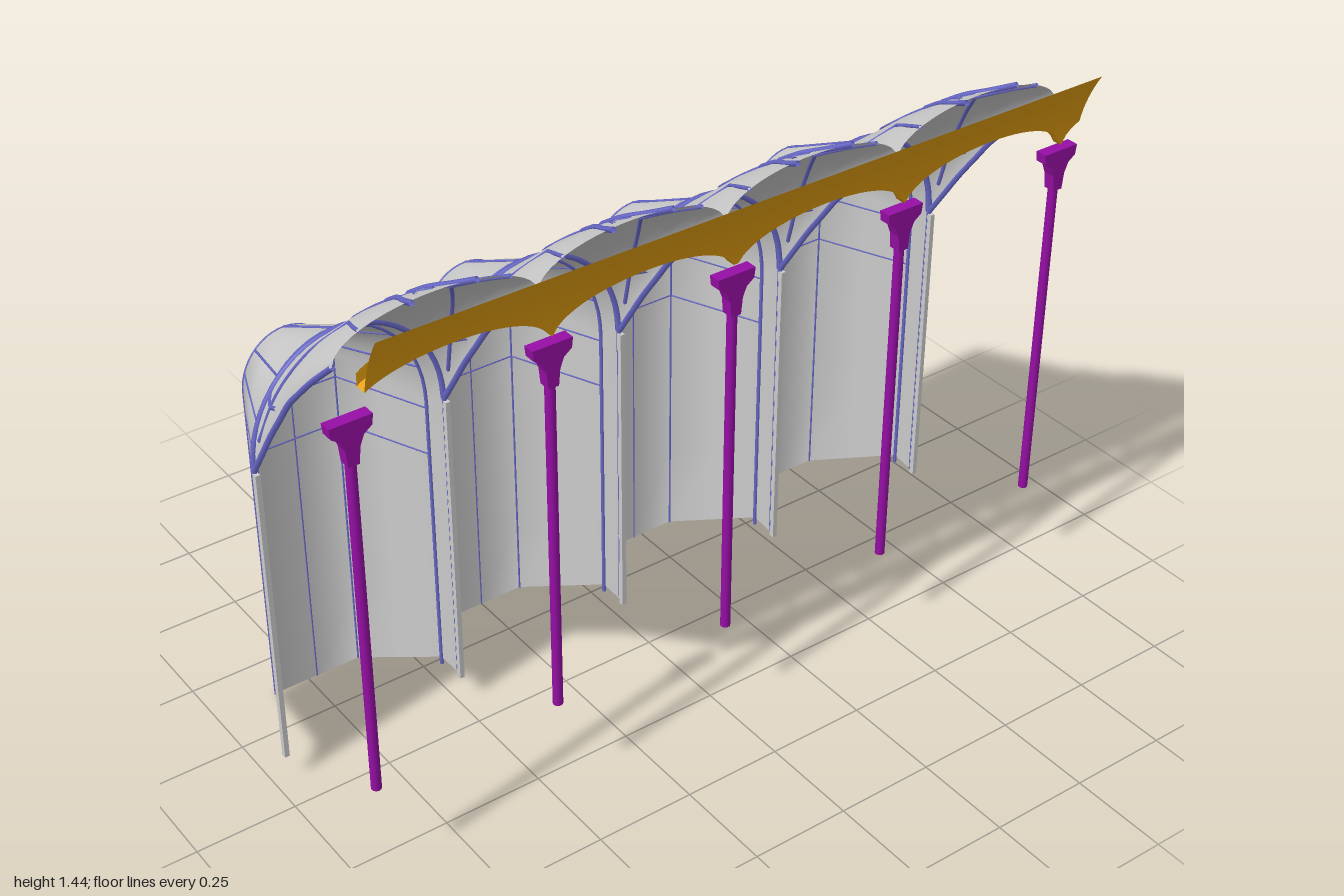
import * as THREE from 'three';

const mat = (color) => new THREE.MeshStandardMaterial({ color, side: THREE.DoubleSide });
const grey = mat(0xcccccc), blue = mat(0x6a6acc), gold = mat(0xe6a010), purple = mat(0x960fa5);
const lerp = THREE.MathUtils.lerp;
const BAYS = 4, PITCH = 0.4765, FIRST = -0.727, HALF = 0.238;

// Stations running back to front: z, half width, springing, crown, foot
const NICHE = [
  [-0.375, 0.115, 0.87, 1.0, 0], [-0.14, 0.215, 0.84, 1.115, 0.11], [-0.1, HALF, 0.865, 1.14, 0.075],
];
const VAULT = [
  [-0.1, HALF, 0.865, 1.14, 0], [0, HALF, 1.015, 1.22, 0], [0.1, HALF, 1.15, 1.302, 0],
  [0.2, HALF, 1.25, 1.37, 0], [0.29, HALF, 1.33, 1.417, 0], [0.33, HALF, 1.36, 1.44, 0],
];

function station(list, z) {
  let i = 0;
  while (i < list.length - 2 && z > list[i + 1][0]) i++;
  const a = list[i], b = list[i + 1], t = (z - a[0]) / (b[0] - a[0]);
  return a.map((v, k) => lerp(v, b[k], t));
}

// Point on an arched shell: u runs 0..1 over the arch
function onArch(list, u, z) {
  const [, h, spring, crown] = station(list, z);
  const a = Math.PI * (1 - u);
  return [h * Math.cos(a), spring + (crown - spring) * Math.sin(a), z];
}

// Point on the straight wall below the arch
function onWall(side, y, z) {
  return [side * station(NICHE, z)[1], y, z];
}

// Smooth surface through rows of points
function loft(rows) {
  const n = rows[0].length, index = [];
  for (let i = 0; i < rows.length - 1; i++) {
    for (let j = 0; j < n - 1; j++) {
      const a = i * n + j, b = a + n;
      index.push(a, b, a + 1, b, b + 1, a + 1);
    }
  }
  const g = new THREE.BufferGeometry();
  g.setAttribute('position', new THREE.Float32BufferAttribute(rows.flat(2), 3));
  g.setIndex(index);
  g.computeVertexNormals();
  return g;
}

function add(parent, name, geometry, material, x = 0, y = 0, z = 0) {
  const m = new THREE.Mesh(geometry, material);
  m.name = name;
  m.position.set(x, y, z);
  parent.add(m);
  return m;
}

function rib(parent, name, points, r = 0.005) {
  const curve = new THREE.CatmullRomCurve3(points.map((p) => new THREE.Vector3(...p)), false, 'centripetal');
  add(parent, name, new THREE.TubeGeometry(curve, points.length > 2 ? 24 : 1, r, 5), blue);
}

const range = (n, f) => Array.from({ length: n + 1 }, (_, i) => f(i / n));

function buildBay() {
  const bay = new THREE.Group();
  bay.name = 'bay';

  // Niche: U-shaped arched sections, closed by a back wall
  const section = (z) => {
    const [, h, spring, , foot] = station(NICHE, z);
    const wall = (s) => range(4, (t) => [s * h, lerp(foot, spring, t), z]);
    return [...wall(-1).slice(0, -1), ...range(24, (u) => onArch(NICHE, u, z)), ...wall(1).reverse().slice(1)];
  };
  const back = section(-0.375);
  const rows = [back.map(([, y, z]) => [0, y, z]), back, section(-0.26), section(-0.14), section(-0.1)];
  add(bay, 'niche', loft(rows), grey);

  // Rising, flattening vault
  add(bay, 'vault', loft(range(12, (t) => range(24, (u) => onArch(VAULT, u, lerp(-0.1, 0.29, t))))), grey);

  // Transverse arches
  rib(bay, 'mouthArch', range(16, (u) => onArch(VAULT, u, -0.1)), 0.009);
  rib(bay, 'innerArch', range(16, (u) => onArch(NICHE, u, -0.14)), 0.005);
  rib(bay, 'backArch', range(16, (u) => onArch(NICHE, u, -0.374)), 0.003);
  rib(bay, 'backCentreRib', [[0, 0, -0.375], [0, 1, -0.375]], 0.002);
  rib(bay, 'hoodRidge', [onArch(NICHE, 0.5, -0.375), onArch(NICHE, 0.5, -0.14)], 0.004);
  for (const y of [0.7, 0.825]) {
    rib(bay, 'backCourse', [onWall(-1, y, -0.374), onWall(1, y, -0.374)], 0.002);
  }

  // Path over the vault given as pairs of x and z
  const overVault = (s, pairs) => pairs.map(([x, z]) =>
    onArch(VAULT, 1 - Math.acos(THREE.MathUtils.clamp(s * x / HALF, -1, 1)) / Math.PI, z));

  for (const s of [-1, 1]) {
    rib(bay, 'mouthRib', [onWall(s, 0.09, -0.14), onWall(s, 0.85, -0.14)], 0.005);
    rib(bay, 'frontRib', [onWall(s, 0.08, -0.1), onWall(s, 0.865, -0.1)], 0.006);
    rib(bay, 'backCornerRib', [onWall(s, 0, -0.374), onWall(s, 0.87, -0.374)], 0.003);
    for (const y of [0.7, 0.825]) rib(bay, 'sideCourse', [onWall(s, y, -0.374), onWall(s, y, -0.14)], 0.002);
    for (const u of [0.12, 0.27]) {
      const v = s < 0 ? u : 1 - u;
      rib(bay, 'hoodRib', [onArch(NICHE, v, -0.374), onArch(NICHE, v, -0.14)], 0.003);
    }
    rib(bay, 'valleyRib', range(8, (t) => onArch(VAULT, s < 0 ? 0 : 1, lerp(-0.1, 0.29, t))), 0.007);
    rib(bay, 'crownRib', overVault(s, [[0.025, 0.14], [0.035, 0.2], [0.055, 0.26], [0.075, 0.325]]), 0.007);
    rib(bay, 'crossRib', overVault(-s, [[-0.02, 0.25], [0.03, 0.13], [0.05, 0.05], [0.03, 0.0]]), 0.004);
    rib(bay, 'fanRib', overVault(s, [[0.234, -0.07], [0.21, -0.01], [0.17, 0.07], [0.12, 0.15]]), 0.005);
    rib(bay, 'branchRib', overVault(s, [[0.12, 0.15], [0.15, 0.22], [0.175, 0.29]]), 0.005);
    rib(bay, 'sideRib', overVault(s, [[0.18, -0.1], [0.215, -0.04], [0.232, 0.02]]), 0.005);
  }
  return bay;
}

// Bracket capital, flaring sideways
function capitalGeometry() {
  const half = [[0.013, 1.11], [0.017, 1.15], [0.027, 1.175], [0.047, 1.19], [0.05, 1.215]];
  const outline = [...half, ...half.map(([x, y]) => [-x, y]).reverse()];
  const shape = new THREE.Shape(outline.map(([x, y]) => new THREE.Vector2(x, y)));
  return new THREE.ExtrudeGeometry(shape, { depth: 0.03, bevelEnabled: false });
}

export function createModel() {
  const model = new THREE.Group();
  model.name = 'vaultedArcade';

  for (let i = 0; i < BAYS; i++) {
    const bay = buildBay();
    bay.position.x = FIRST + PITCH * i;
    model.add(bay);
  }

  // Piers between bays
  for (let i = 0; i <= BAYS; i++) {
    add(model, 'pier', new THREE.BoxGeometry(0.012, 0.79, 0.014), grey, FIRST - HALF + PITCH * i, 0.465, -0.093);
  }

  // Front columns with capitals
  const colX = (i) => -0.95 + 0.474 * i;
  for (let i = 0; i <= BAYS; i++) {
    const column = new THREE.Group();
    column.name = 'column';
    column.position.set(colX(i), 0, 0.305);
    add(column, 'shaft', new THREE.CylinderGeometry(0.012, 0.012, 0.92, 12), purple, 0, 0.715, 0);
    add(column, 'capital', capitalGeometry(), purple, 0, 0, -0.015);
    model.add(column);
  }

  // Coved cornice whose lower edge forms shallow arches between columns
  const archY = (x) => {
    const t = (((x - colX(0)) / 0.474) % 1 + 1) % 1;
    return 1.215 + 0.1 * Math.sqrt(Math.max(0, 1 - (2 * t - 1) ** 2));
  };
  const coveZ = (y) => 0.315 + 0.06 * ((y - 1.215) / 0.195) ** 2;
  const xs = range(160, (t) => lerp(-0.915, 0.995, t));
  add(model, 'cornice', loft(range(8, (t) => xs.map((x) => {
    const y = lerp(archY(x), 1.41, t);
    return [x, y, coveZ(y)];
  }))), gold);
  add(model, 'archSoffit', loft([0, 1].map((t) => xs.map((x) => [x, archY(x), lerp(0.29, coveZ(archY(x)), t)]))), gold);
  add(model, 'archBack', loft([0, 1].map((t) => xs.map((x) => [x, Math.min(archY(x) + 0.03 * t, 1.315), 0.29]))), gold);

  return model;
}
